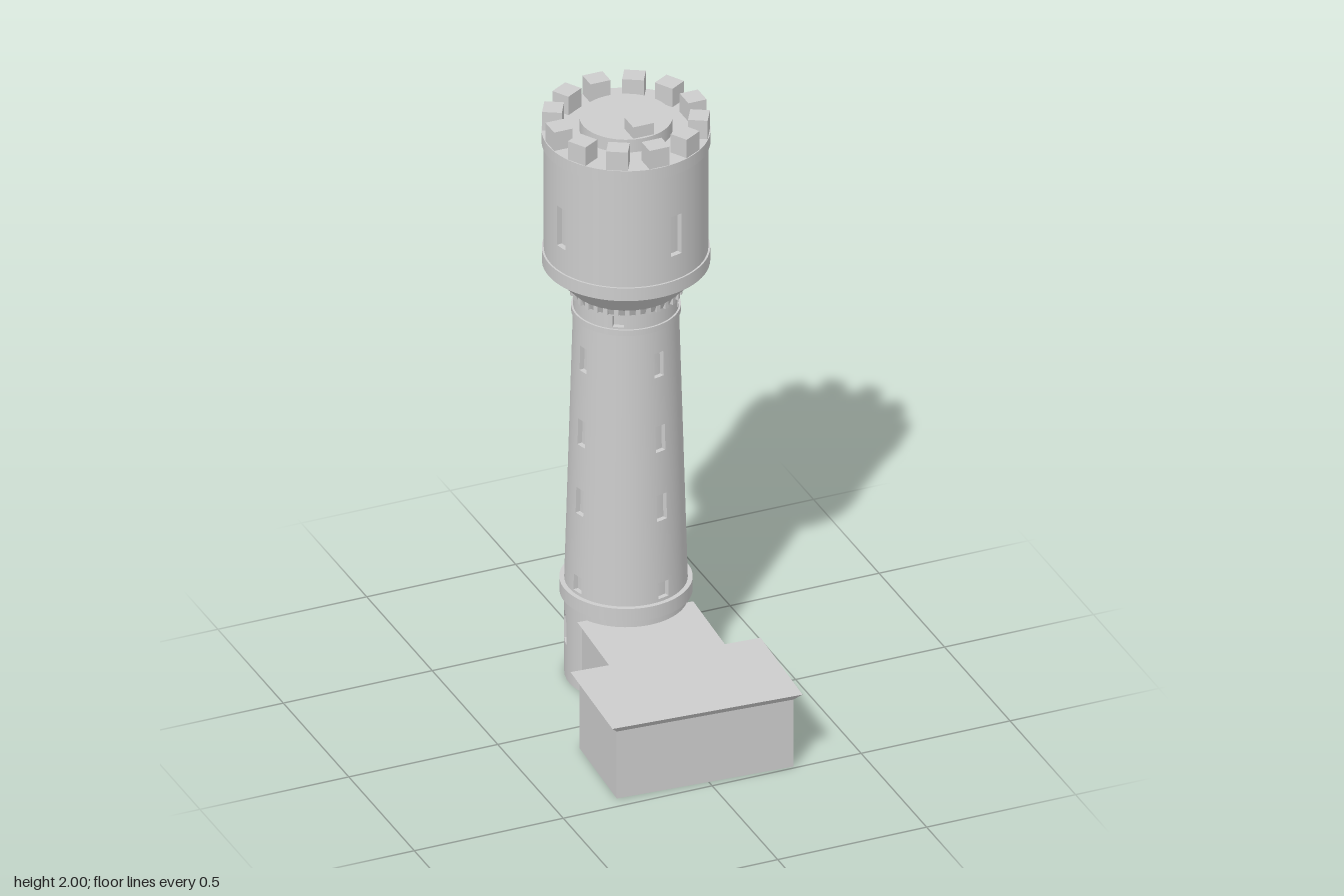
import * as THREE from 'three';

const stone = new THREE.MeshStandardMaterial({ color: 0xcccccc });
stone.name = 'paleStone';
const SEG = 72;
const rad = THREE.MathUtils.degToRad;

function add(parent, name, geometry, x = 0, y = 0, z = 0) {
  const mesh = new THREE.Mesh(geometry, stone);
  mesh.name = name;
  mesh.position.set(x, y, z);
  parent.add(mesh);
  return mesh;
}

// Closed round band or cone section from y0 to y1
function band(parent, name, r0, r1, y0, y1) {
  return add(parent, name, new THREE.CylinderGeometry(r1, r0, y1 - y0, SEG), 0, (y0 + y1) / 2, 0);
}

// Round wall with recessed windows. Angles run from +z towards +x.
// Each row is [sill, shoulder, apex]; a flat head has shoulder = apex.
function roundWall(y0, y1, r0, r1, angles, width, rows, depth) {
  const pos = [], nor = [];
  const half = width / (r0 + r1);
  const slope = (r0 - r1) / (y1 - y0);
  const centres = angles.map((d) => ((rad(d) % (2 * Math.PI)) + 2 * Math.PI) % (2 * Math.PI));
  const point = ([a, y, d]) => {
    const r = r0 - slope * (y - y0) - d;
    return new THREE.Vector3(r * Math.sin(a), y, r * Math.cos(a));
  };
  const quad = (corners, smooth) => {
    const p = corners.map(point);
    const flat = p[2].clone().sub(p[0]).cross(p[3].clone().sub(p[1])).normalize();
    for (const i of [0, 1, 2, 0, 2, 3]) {
      const a = corners[i][0];
      const n = smooth ? new THREE.Vector3(Math.sin(a), slope, Math.cos(a)).normalize() : flat;
      pos.push(...p[i].toArray());
      nor.push(...n.toArray());
    }
  };

  // Column edges: even steps, plus the sides and middle of each window
  const edges = [];
  for (let i = 0; i <= SEG; i++) {
    const a = (i / SEG) * 2 * Math.PI;
    if (!centres.some((c) => Math.abs(a - c) <= half + 1e-4)) edges.push(a);
  }
  centres.forEach((c) => edges.push(c - half, c, c + half));
  edges.sort((a, b) => a - b);

  for (let i = 0; i < edges.length - 1; i++) {
    const p = edges[i], q = edges[i + 1];
    const c = centres.find((m) => Math.abs((p + q) / 2 - m) < half);
    let bp = y0, bq = y0;
    if (c !== undefined) {
      const left = q <= c + 1e-6;
      for (const [sill, shoulder, apex] of rows) {
        const tp = left ? shoulder : apex, tq = left ? apex : shoulder;
        quad([[p, bp, 0], [q, bq, 0], [q, sill, 0], [p, sill, 0]], true);
        quad([[p, sill, depth], [q, sill, depth], [q, tq, depth], [p, tp, depth]], true);
        quad([[p, sill, 0], [q, sill, 0], [q, sill, depth], [p, sill, depth]], false);
        quad([[p, tp, depth], [q, tq, depth], [q, tq, 0], [p, tp, 0]], false);
        if (left) quad([[p, sill, 0], [p, sill, depth], [p, tp, depth], [p, tp, 0]], false);
        else quad([[q, tq, 0], [q, tq, depth], [q, sill, depth], [q, sill, 0]], false);
        bp = tp;
        bq = tq;
      }
    }
    quad([[p, bp, 0], [q, bq, 0], [q, y1, 0], [p, y1, 0]], true);
  }
  const geometry = new THREE.BufferGeometry();
  geometry.setAttribute('position', new THREE.Float32BufferAttribute(pos, 3));
  geometry.setAttribute('normal', new THREE.Float32BufferAttribute(nor, 3));
  return geometry;
}

const quarters = (start) => [0, 90, 180, 270].map((d) => start + d);

function createTower() {
  const tower = new THREE.Group();
  tower.name = 'tower';

  // Base with pointed windows
  add(tower, 'base', roundWall(0, 0.295, 0.19, 0.19, [164, 254], 0.05, [[0.12, 0.195, 0.23]], 0.018));
  const floor = add(tower, 'baseUnderside', new THREE.CircleGeometry(0.19, SEG));
  floor.rotation.x = Math.PI / 2;
  band(tower, 'baseRing', 0.205, 0.205, 0.29, 0.335);

  // Tapered shaft
  const rows = [[0.345, 0.4], [0.615, 0.705], [0.855, 0.945], [1.115, 1.2]].map(([b, t]) => [b, t, t]);
  add(tower, 'shaft', roundWall(0.335, 1.285, 0.19, 0.163, quarters(14), 0.037, rows, 0.016));
  band(tower, 'shaftRing', 0.169, 0.169, 1.28, 1.3);

  // Neck with brackets and flare
  add(tower, 'neck', roundWall(1.3, 1.35, 0.163, 0.163, quarters(58), 0.036, [[1.307, 1.345, 1.345]], 0.016));
  band(tower, 'lowerFlare', 0.163, 0.173, 1.35, 1.372);
  band(tower, 'upperFlare', 0.173, 0.252, 1.372, 1.455);
  for (let i = 0; i < 32; i++) {
    const a = (i / 32) * 2 * Math.PI;
    const bracket = add(tower, 'neckBracket', new THREE.BoxGeometry(0.014, 0.03, 0.02),
      0.165 * Math.sin(a), 1.366, 0.165 * Math.cos(a));
    bracket.rotation.y = a;
  }

  // Drum
  band(tower, 'drumLowerRing', 0.259, 0.259, 1.455, 1.5);
  add(tower, 'drum', roundWall(1.5, 1.88, 0.253, 0.253, quarters(14), 0.042, [[1.585, 1.725, 1.725]], 0.018));
  band(tower, 'drumUpperRing', 0.26, 0.26, 1.875, 1.915);

  // Battlements and roof
  for (let i = 0; i < 12; i++) {
    const a = (i / 12) * 2 * Math.PI;
    const merlon = add(tower, 'merlon', new THREE.BoxGeometry(0.067, 0.07, 0.061),
      0.2255 * Math.sin(a), 1.945, 0.2255 * Math.cos(a));
    merlon.rotation.y = a;
  }
  band(tower, 'roofDisc', 0.143, 0.143, 1.91, 1.96);
  add(tower, 'roofHatch', new THREE.BoxGeometry(0.069, 0.05, 0.068), 0, 1.975, 0.1);
  return tower;
}

function createAnnex() {
  const annex = new THREE.Group();
  annex.name = 'annex';
  const box = (name, x0, x1, z0, z1, h) =>
    add(annex, name, new THREE.BoxGeometry(x1 - x0, h, z1 - z0), (x0 + x1) / 2, h / 2, (z0 + z1) / 2);
  box('hall', -0.299, 0.279, 0.403, 0.735, 0.24);
  box('passage', -0.173, 0.144, 0.03, 0.405, 0.24);

  // Passage side wall with a pointed window opening
  const side = new THREE.Shape([[-0.405, 0], [-0.03, 0], [-0.03, 0.24], [-0.405, 0.24]]
    .map(([x, y]) => new THREE.Vector2(x, y)));
  side.holes.push(new THREE.Path([[-0.297, 0.08], [-0.297, 0.175], [-0.263, 0.21], [-0.229, 0.175], [-0.229, 0.08]]
    .map(([x, y]) => new THREE.Vector2(x, y))));
  const wall = add(annex, 'passageWindowWall',
    new THREE.ExtrudeGeometry(side, { depth: 0.018, bevelEnabled: false }), 0.144, 0, 0);
  wall.rotation.y = Math.PI / 2;

  // Flat roof whose edge slopes in towards the walls
  const outline = [[-0.195, 0.098], [-0.195, 0.381], [-0.321, 0.381], [-0.321, 0.757],
    [0.301, 0.757], [0.301, 0.381], [0.184, 0.381], [0.184, 0.098]];
  const roof = new THREE.ExtrudeGeometry(
    new THREE.Shape(outline.map(([x, z]) => new THREE.Vector2(x, -z))), { depth: 0.025, bevelEnabled: false });
  roof.rotateX(-Math.PI / 2);
  const p = roof.attributes.position;
  for (let i = 0; i < p.count; i++) {
    if (p.getY(i) > 0.01) continue;
    const x = p.getX(i), z = p.getZ(i);
    p.setX(i, x - Math.sign(x) * 0.022);
    if (z > 0.5) p.setZ(i, z - 0.022);
    else if (z > 0.3) p.setZ(i, z + 0.022);
  }
  roof.computeVertexNormals();
  add(annex, 'annexRoof', roof, 0, 0.237, 0);
  annex.rotation.y = -0.064;
  return annex;
}

export function createModel() {
  const model = new THREE.Group();
  model.name = 'waterTower';
  const site = new THREE.Group();
  site.name = 'site';
  site.position.set(0.045, 0, -0.26);
  site.add(createTower(), createAnnex());
  model.add(site);
  return model;
}
